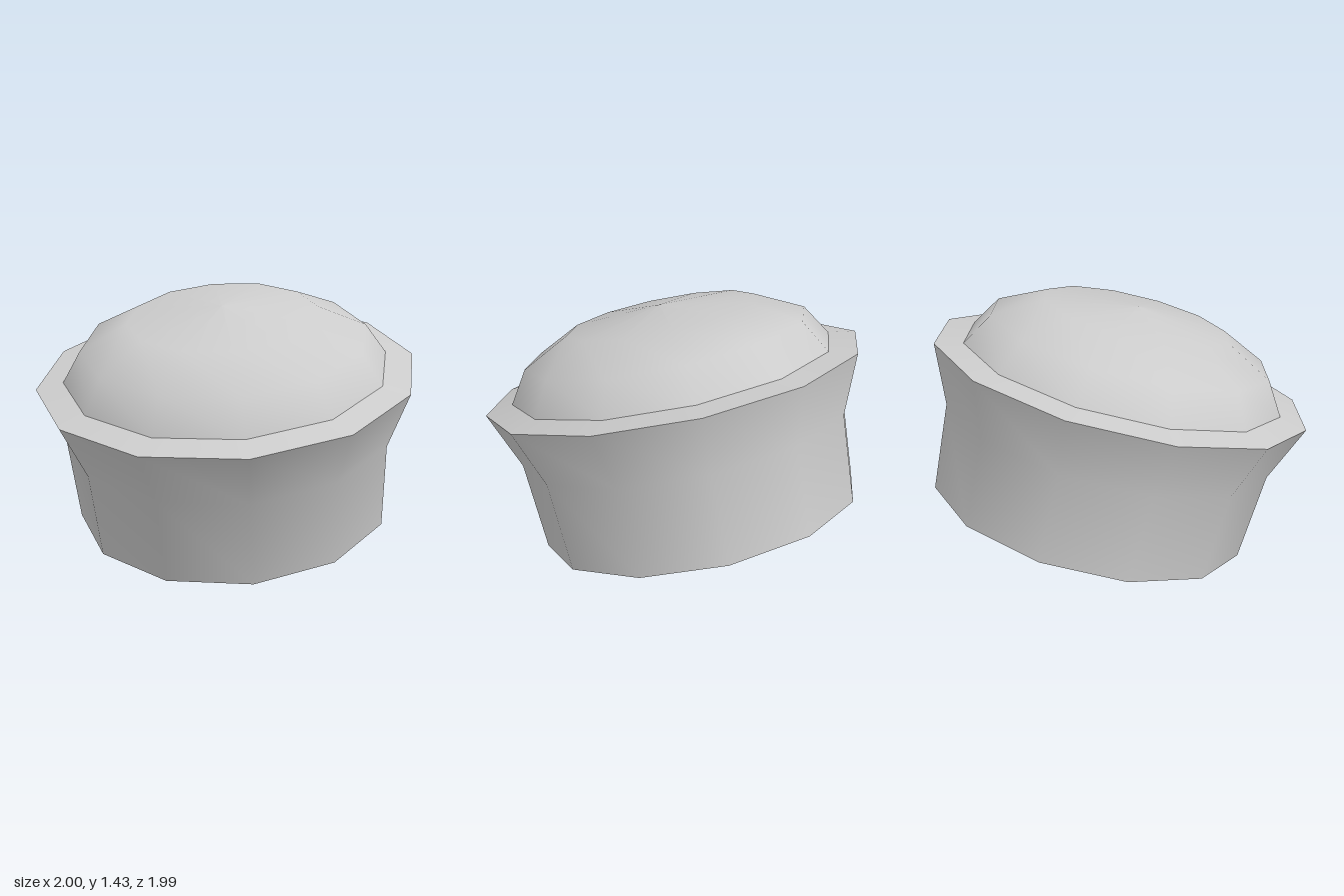
import * as THREE from 'three';

const SIDES = 12;
const TURN = THREE.MathUtils.degToRad(18.7); // corner offset around the axis
const TILT = THREE.MathUtils.degToRad(15);   // whole button leans forward

export function createModel() {
  const grey = new THREE.MeshStandardMaterial({ color: 0xcccccc });
  grey.name = 'light grey';

  const model = new THREE.Group();
  model.name = 'tiltedButton';

  // Each part is a twelve-sided lathe; profile pairs are [radius, height], bottom to top
  const addPart = (name, profile) => {
    const points = profile.map(([r, y]) => new THREE.Vector2(r, y));
    const mesh = new THREE.Mesh(new THREE.LatheGeometry(points, SIDES, TURN), grey);
    mesh.name = name;
    model.add(mesh);
  };

  addPart('base', [[0, 0], [0.866, 0]]);
  addPart('flaredWall', [[0.866, 0], [0.895, 0.477], [1.02, 0.791]]);
  addPart('rim', [[1.02, 0.791], [0.872, 0.818]]);
  addPart('dome', [[0.872, 0.818], [0.765, 0.986], [0.507, 1.115], [0, 1.167]]);

  // Lean forward, with the lowest corner touching the ground
  model.rotation.x = TILT;
  model.position.set(0, 0.22, -0.17);

  const root = new THREE.Group();
  root.name = 'button';
  root.add(model);
  return root;
}
